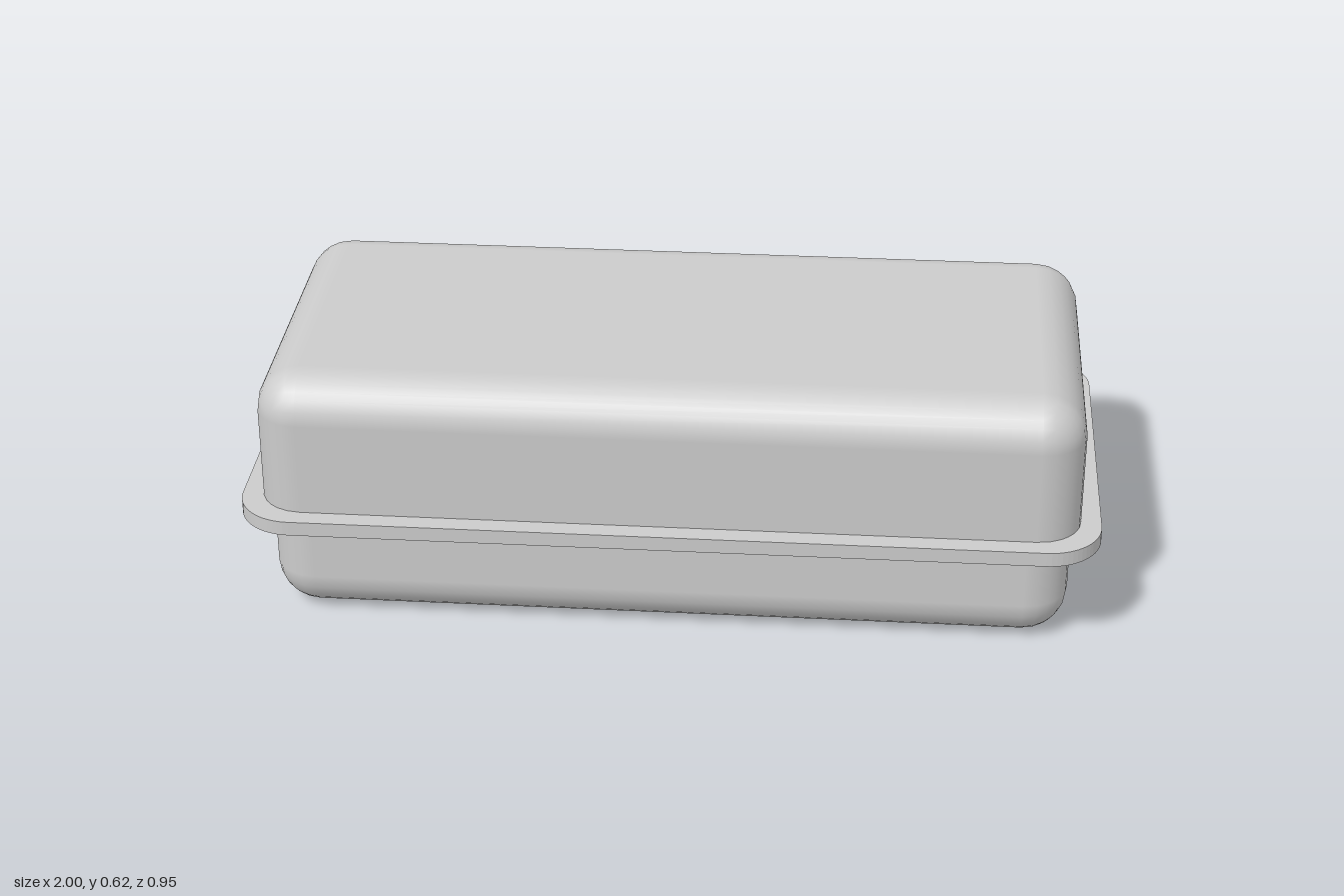
import * as THREE from 'three';
import { RoundedBoxGeometry } from 'three/addons/geometries/RoundedBoxGeometry.js';

const material = new THREE.MeshStandardMaterial({ color: 0xcccccc });

// Rounded box cut flat at its base: y runs from 0 (cut) to height (rounded)
function roundedShell(width, height, depth, radius) {
  const full = height + radius;
  const geo = new RoundedBoxGeometry(width, full, depth, 3, radius);
  geo.translate(0, full / 2 - radius, 0);
  const pos = geo.attributes.position;
  for (let i = 0; i < pos.count; i++) pos.setY(i, Math.max(0, pos.getY(i)));
  return geo;
}

// Flat plate with rounded corners, lying from y = 0 to y = thickness
function roundedPlate(width, depth, radius, thickness) {
  const x = width / 2, y = depth / 2, r = radius;
  const shape = new THREE.Shape();
  shape.absarc(x - r, y - r, r, 0, Math.PI / 2);
  shape.absarc(-x + r, y - r, r, Math.PI / 2, Math.PI);
  shape.absarc(-x + r, -y + r, r, Math.PI, Math.PI * 1.5);
  shape.absarc(x - r, -y + r, r, Math.PI * 1.5, Math.PI * 2);
  shape.closePath();
  const geo = new THREE.ExtrudeGeometry(shape, { depth: thickness, bevelEnabled: false, curveSegments: 8 });
  return geo.rotateX(-Math.PI / 2);
}

export function createModel() {
  const model = new THREE.Group();
  model.name = 'lidded box';
  const add = (name, geometry, y) => {
    const mesh = new THREE.Mesh(geometry, material);
    mesh.name = name;
    mesh.position.y = y;
    model.add(mesh);
    return mesh;
  };

  const rimBottom = 0.255, rimTop = 0.29;

  // Lower tray, turned over so its rounded side faces down
  add('tray', roundedShell(1.866, rimBottom, 0.824, 0.105), rimBottom).rotation.x = Math.PI;

  // Projecting rim between tray and lid
  add('rim', roundedPlate(2, 0.954, 0.13, rimTop - rimBottom), rimBottom);

  // Taller, slightly wider lid
  add('lid', roundedShell(1.906, 0.62 - rimTop, 0.86, 0.105), rimTop);

  return model;
}
